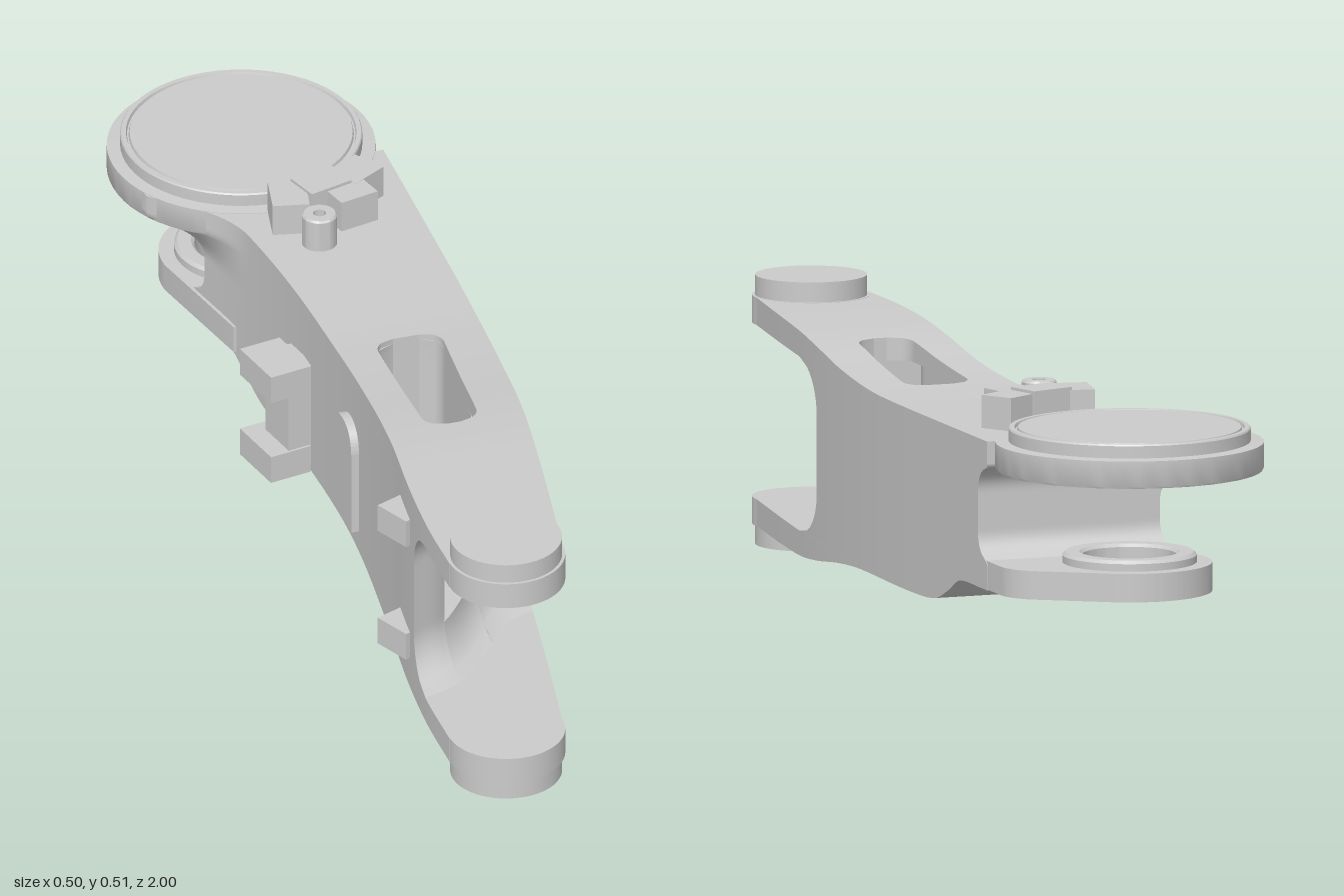
import * as THREE from 'three';
import { toCreasedNormals } from 'three/addons/utils/BufferGeometryUtils.js';

const lerp = THREE.MathUtils.lerp, clamp = THREE.MathUtils.clamp;

// Smooth curve through [t, value] points, held constant past the ends
function curve(pts) {
  const slope = i => {
    const a = pts[Math.max(i - 1, 0)], b = pts[Math.min(i + 1, pts.length - 1)];
    return (b[1] - a[1]) / (b[0] - a[0]);
  };
  return t => {
    t = clamp(t, pts[0][0], pts[pts.length - 1][0]);
    let i = 0;
    while (i < pts.length - 2 && t > pts[i + 1][0]) i++;
    const h = pts[i + 1][0] - pts[i][0], s = (t - pts[i][0]) / h, s2 = s * s, s3 = s2 * s;
    return (2 * s3 - 3 * s2 + 1) * pts[i][1] + (s3 - 2 * s2 + s) * h * slope(i)
      + (3 * s2 - 2 * s3) * pts[i + 1][1] + (s3 - s2) * h * slope(i + 1);
  };
}

// Quarter-round offset: 1 at the plate, 0 once e reaches radius r
const fillet = (e, r) => {
  const k = clamp(1 - e / r, 0, 1);
  return 1 - Math.sqrt(1 - k * k);
};

// Plan edges, top and bottom heights along z
const xl = curve([[-0.65, -0.13], [-0.48, -0.095], [-0.3, -0.072], [-0.1, -0.06], [0.15, -0.06], [0.4, -0.077], [0.6, -0.1], [0.75, -0.111], [0.89, -0.112]]);
const xr = curve([[-0.7, 0.249], [-0.4, 0.243], [-0.1, 0.235], [0.1, 0.223], [0.35, 0.198], [0.6, 0.16], [0.89, 0.11]]);
const top = curve([[-0.65, 0.427], [-0.1, 0.428], [0.02, 0.431], [0.2, 0.444], [0.35, 0.46], [0.5, 0.469], [0.89, 0.472]]);
const bot = curve([[-0.62, 0.145], [-0.5, 0.142], [-0.44, 0.115], [-0.37, 0.09], [-0.25, 0.083], [0.05, 0.083], [0.2, 0.073], [0.35, 0.055], [0.5, 0.043], [0.89, 0.039]]);

// Window edges with rounded corners
const W0 = 0.015, W1 = 0.39;
const corner = z => 0.04 * fillet(Math.min(z - W0, W1 - z), 0.04);
const wl = z => lerp(0.015, 0.003, (z - W0) / (W1 - W0)) + corner(z);
const wr = z => lerp(0.147, 0.108, (z - W0) / (W1 - W0)) - corner(z);
// The same edges inside the web, running on into the front opening
const wlWeb = z => z < 0.3 ? wl(z) : lerp(wl(0.3), -0.03, clamp((z - 0.3) / 0.1, 0, 1));
const wrWeb = z => z < 0.3 ? wr(z) : lerp(wr(0.3), 0.07, clamp((z - 0.3) / 0.17, 0, 1));

// Scooped front of the web
const scoop = curve([[-0.1, 0.645], [-0.03, 0.6], [0.07, 0.47], [0.14, 0.39], [0.2, 0.355]]);
const LO = 0.09, HI = 0.42;
const front = (x, y) => scoop(x) + lerp(0.09, 0.14, clamp((x + 0.1) / 0.3, 0, 1)) * fillet(Math.min(y - LO, HI - y), 0.09);

export function createModel() {
  const model = new THREE.Group();
  const mat = new THREE.MeshStandardMaterial({ color: 0xcccccc });

  function add(name, geo, x = 0, y = 0, z = 0, ry = 0) {
    const m = new THREE.Mesh(geo, mat);
    m.name = name;
    m.position.set(x, y, z);
    m.rotation.y = ry;
    model.add(m);
    return m;
  }
  // Box whose unit coordinates u, v, w are mapped to a bent solid
  function solid(name, nu, nv, nw, map) {
    const g = new THREE.BoxGeometry(1, 1, 1, nu, nv, nw), p = g.attributes.position;
    for (let i = 0; i < p.count; i++) p.setXYZ(i, ...map(p.getX(i) + 0.5, p.getY(i) + 0.5, p.getZ(i) + 0.5));
    g.computeVertexNormals();
    return add(name, g);
  }
  // Solid between plan edges a(z), b(z) and heights c(z), d(z)
  const slab = (name, z0, z1, a, b, c, d) => solid(name, 4, 2, 40, (u, v, w) => {
    const z = lerp(z0, z1, w);
    return [lerp(a(z), b(z), u), lerp(c(z), d(z), v), z];
  });
  const lathe = (name, pts, z) =>
    add(name, toCreasedNormals(new THREE.LatheGeometry(pts.map(p => new THREE.Vector2(...p)), 64), 0.5), 0, 0, z);
  const box = (name, w, h, d, x, y, z, ry) => add(name, new THREE.BoxGeometry(w, h, d), x, y, z, ry);

  // Rear body, flaring up to the disc and rounded into both lugs
  solid('body', 6, 40, 48, (u, v, w) => {
    const yEnd = lerp(bot(-0.6), top(-0.6), v);
    const z = lerp(-0.6 - 0.05 * fillet(Math.min(yEnd - 0.2, 0.375 - yEnd), 0.05), W0, w);
    const y = lerp(bot(z), top(z), v);
    const s = clamp((y - 0.29) / 0.09, 0, 1), f = clamp((-0.43 - z) / 0.19, 0, 1);
    return [lerp(xl(z) - 0.1 * s * s * f * f, xr(z), u), y, z];
  });

  // Upper and lower plates around the window, then the fork arms
  const lo = () => LO, hi = () => HI;
  for (const [name, c, d] of [['upper', hi, top], ['lower', bot, lo]]) {
    slab(name + 'PlateRight', W0, W1, xl, wl, c, d);
    slab(name + 'PlateLeft', W0, W1, wr, xr, c, d);
    slab(name + 'ForkArm', W1, 0.89, xl, xr, c, d);
  }

  // Web walls either side of the window, with the scooped front
  solid('webRight', 6, 32, 40, (u, v, w) => {
    const y = lerp(LO, HI, v), z = lerp(W0, front(lerp(-0.1, -0.03, u), y), w);
    return [lerp(xl(z), wlWeb(z), u), y, z];
  });
  solid('webLeft', 12, 32, 40, (u, v, w) => {
    const y = lerp(LO, HI, v), z = lerp(W0, front(lerp(0.07, 0.2, u), y), w);
    return [lerp(wrWeb(z), xr(z), u), y, z];
  });
  // Web above and below the front opening
  for (const [y0, y1] of [[LO, 0.165], [0.345, HI]]) {
    solid('webBridge', 8, 14, 8, (u, v, w) => {
      const y = lerp(y0, y1, v), z = lerp(W1, front(lerp(-0.03, 0.07, u), y), w);
      return [lerp(-0.03, wrWeb(z), u), y, z];
    });
  }

  // Fork ends and their round bosses
  for (const [yPlate, hPlate, yBoss] of [[0.446, 0.052, 0.49], [0.0645, 0.051, 0.02]]) {
    add('forkEnd', new THREE.CylinderGeometry(0.111, 0.111, hPlate, 64), 0, yPlate, 0.887);
    add('forkBoss', new THREE.CylinderGeometry(0.105, 0.105, 0.04, 64), 0, yBoss, 0.887);
  }

  // Large rear disc with a rim on top and a recess underneath
  lathe('rearDisc', [[0, 0.4], [0.13, 0.4], [0.145, 0.392], [0.195, 0.392], [0.205, 0.376], [0.25, 0.376], [0.252, 0.38],
    [0.252, 0.428], [0.227, 0.43], [0.227, 0.453], [0.225, 0.456], [0.216, 0.456], [0.214, 0.45], [0.211, 0.45], [0.209, 0.456], [0, 0.456]], -0.748);

  // Lower rear lug with a bored boss
  const lug = new THREE.Shape();
  lug.moveTo(-0.1, 0.48);
  lug.lineTo(0.244, 0.48);
  lug.lineTo(0.248, 0.72);
  lug.quadraticCurveTo(0.248, 0.76, 0.215, 0.79);
  lug.lineTo(0.1, 0.867);
  lug.absarc(0, 0.748, 0.155, 0.87, Math.PI + 0.1, false);
  lug.lineTo(-0.1, 0.48);
  const bore = new THREE.Path();
  bore.absarc(0, 0.748, 0.088, 0, Math.PI * 2, true);
  lug.holes.push(bore);
  const lugGeo = new THREE.ExtrudeGeometry(lug, { depth: 0.054, bevelEnabled: false, curveSegments: 40 });
  lugGeo.rotateX(-Math.PI / 2);
  add('rearLug', toCreasedNormals(lugGeo, 0.5), 0, 0.146, 0);
  lathe('lugBoss', [[0.088, 0.15], [0.126, 0.15], [0.126, 0.214], [0.12, 0.22], [0.094, 0.22], [0.088, 0.214], [0.088, 0.15]], -0.748);

  // Clip blocks beside the fork
  for (const y of [0.378, 0.132]) box('forkClip', 0.09, 0.056, 0.08, -0.085, y, 0.56, 0.42);

  // Bracket with two blocks on the right side
  box('sideBracket', 0.055, 0.215, 0.09, -0.09, 0.205, -0.165, 0.2);
  for (const y of [0.287, 0.113]) box('sideClip', 0.085, 0.056, 0.12, -0.117, y, -0.17, 0.2);

  // Thin side cover with a round top
  const cover = new THREE.Shape();
  cover.moveTo(-0.055, -0.1);
  cover.lineTo(0.055, -0.1);
  cover.lineTo(0.055, 0.07);
  cover.quadraticCurveTo(0.05, 0.12, 0, 0.12);
  cover.quadraticCurveTo(-0.05, 0.12, -0.055, 0.07);
  add('sideCover', new THREE.ExtrudeGeometry(cover, { depth: 0.02, bevelEnabled: false }), -0.056, 0.22, 0.115, -Math.PI / 2);

  // Small fittings on top, in front of the disc
  lathe('topPost', [[0.033, 0.42], [0.033, 0.488], [0.03, 0.492], [0.012, 0.492], [0.012, 0.475], [0, 0.475]], -0.365);
  model.children[model.children.length - 1].position.x = 0.032;
  box('topBlock', 0.07, 0.07, 0.09, 0.0, 0.455, -0.455, -0.2);
  box('topBlock', 0.09, 0.075, 0.07, 0.07, 0.458, -0.475, 0.3);
  box('topBlock', 0.08, 0.065, 0.06, 0.115, 0.457, -0.43, 0.25);
  box('topBlock', 0.08, 0.07, 0.07, 0.145, 0.455, -0.5, 0.55);
  return model;
}
